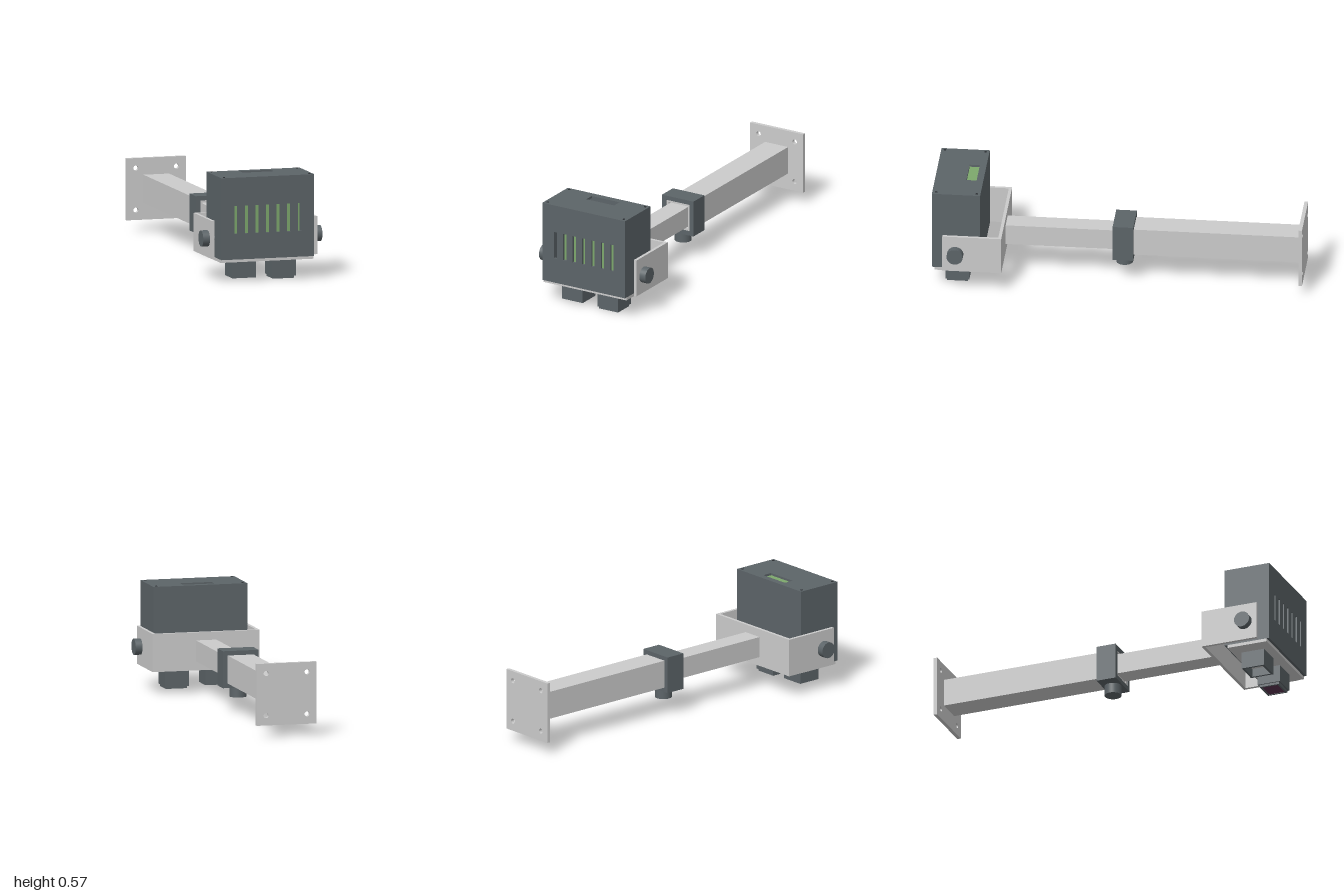
import * as THREE from 'three';

const grey = new THREE.MeshStandardMaterial({ color: 0xcccccc });
const dark = new THREE.MeshStandardMaterial({ color: 0x5c6468 });
const black = new THREE.MeshStandardMaterial({ color: 0x2c3033 });
const green = new THREE.MeshStandardMaterial({ color: 0x7da86c });
const purple = new THREE.MeshStandardMaterial({ color: 0x5a3450 });

export function createModel() {
  const root = new THREE.Group();
  const ARM_Y = 0.232;

  const add = (name, geo, mat, x = 0, y = 0, z = 0, parent = root) => {
    const mesh = new THREE.Mesh(geo, mat);
    mesh.name = name;
    mesh.position.set(x, y, z);
    parent.add(mesh);
    return mesh;
  };
  const group = (name) => {
    const g = new THREE.Group();
    g.name = name;
    root.add(g);
    return g;
  };
  // box given by its lower and upper limits
  const box = (name, mat, [x0, x1], [y0, y1], [z0, z1], parent = root) =>
    add(name, new THREE.BoxGeometry(x1 - x0, y1 - y0, z1 - z0), mat,
      (x0 + x1) / 2, (y0 + y1) / 2, (z0 + z1) / 2, parent);

  const rect = (Kind, w, h, cx = 0, cy = 0) => new Kind([
    [-1, -1], [1, -1], [1, 1], [-1, 1],
  ].map(([a, b]) => new THREE.Vector2(cx + a * w / 2, cy + b * h / 2)));
  const rectHole = (w, h, cx = 0, cy = 0) => rect(THREE.Path, w, h, cx, cy);
  const roundHole = (r, cx, cy) => new THREE.Path().absarc(cx, cy, r, 0, Math.PI * 2, true);
  // rectangular slab in xy with holes, extruded along +z
  const slab = (w, h, depth, holes) => {
    const s = rect(THREE.Shape, w, h);
    s.holes.push(...holes);
    return new THREE.ExtrudeGeometry(s, { depth, bevelEnabled: false, curveSegments: 12 });
  };
  const corners = (a, b) => [[-a, -b], [a, -b], [a, b], [-a, b]];

  // wall plate with four bolt holes
  add('wallPlate', slab(0.336, 0.338, 0.02, corners(0.115, 0.115).map(([x, y]) => roundHole(0.014, x, y))),
    grey, 0, ARM_Y, -1);

  // telescopic arm with its clamp collar
  const arm = group('telescopicArm');
  add('outerTube', slab(0.146, 0.153, 1.01, [rectHole(0.122, 0.129)]), grey, 0, ARM_Y, -0.98, arm);
  add('innerTube', slab(0.114, 0.114, 0.92, [rectHole(0.094, 0.094)]), grey, 0, ARM_Y, -0.3, arm);
  add('clampCollar', slab(0.2, 0.202, 0.112, [rectHole(0.147, 0.154)]), dark, 0, ARM_Y, -0.077, arm);
  add('clampKnob', new THREE.CylinderGeometry(0.046, 0.046, 0.057, 32), dark, 0, 0.1035, -0.021, arm);

  // U-shaped bracket
  const bracket = group('bracket');
  box('bracketBack', grey, [-0.3, 0.3], [0.125, 0.333], [0.62, 0.637], bracket);
  for (const s of [-1, 1]) {
    const arms = [0.283 * s, 0.3 * s].sort((a, b) => a - b);
    box('bracketArm', grey, arms, [0.125, 0.333], [0.637, 0.94], bracket);
    // tilt knob and its axle
    add('tiltKnob', new THREE.CylinderGeometry(0.044, 0.044, 0.038, 32), dark, 0.319 * s, 0.229, 0.869, bracket)
      .rotation.z = Math.PI / 2;
    add('tiltAxle', new THREE.CylinderGeometry(0.016, 0.016, 0.04, 20), dark, 0.272 * s, 0.229, 0.869, bracket)
      .rotation.z = Math.PI / 2;
  }

  // housing: slotted front, vented lid, plain back, sides and floor
  const housing = group('housing');
  const W = 0.263, T = 0.012, Y0 = 0.125, Y1 = 0.572, Z0 = 0.738, Z1 = 1;
  const midY = (Y0 + Y1) / 2, midZ = (Z0 + Z1) / 2;
  const slots = [];
  for (let i = -3; i <= 3; i++) slots.push(rectHole(0.02, 0.152, i * 0.06, 0.342 - midY));
  add('housingFront', slab(2 * W, Y1 - Y0, T, slots), dark, 0, midY, Z1 - T, housing);
  add('housingLid', slab(2 * W, Z1 - Z0 - T, T, [rectHole(0.176, 0.055, 0, midZ - T / 2 - 0.802)]),
    dark, 0, Y1 - T, midZ - T / 2, housing).rotation.x = -Math.PI / 2;
  box('housingBack', dark, [-W, W], [Y0, Y1 - T], [Z0, Z0 + T], housing);
  box('housingFloor', dark, [-W + T, W - T], [Y0, Y0 + T], [Z0 + T, Z1 - T], housing);
  for (const s of [-1, 1]) {
    const xs = [s * W, s * (W - T)].sort((a, b) => a - b);
    box('housingSide', dark, xs, [Y0, Y1 - T], [Z0 + T, Z1 - T], housing);
  }
  for (const [x, z] of corners(0.242, 0.11))
    add('lidScrew', new THREE.CylinderGeometry(0.007, 0.007, 0.004, 16), black, x, Y1, midZ + z, housing);

  // circuit board stack inside
  box('circuitBoards', green, [-0.192, 0.192], [0.2, 0.525], [0.765, 0.965], housing);

  // base plate under the housing
  box('basePlate', grey, [-W, W], [0.108, 0.125], [0.755, 0.985]);

  // two downward sensors: an open hood and a glazed one
  for (const s of [-1, 1]) {
    const sensor = group(s < 0 ? 'openSensor' : 'glazedSensor');
    const x = 0.113 * s, z = 0.87;
    add('sensorHood', slab(0.133, 0.13, 0.095, [rectHole(0.109, 0.106)]), dark, x, 0.108, z, sensor)
      .rotation.x = Math.PI / 2;
    if (s < 0) {
      box('sensorWindow', grey, [x - 0.055, x + 0.055], [0.06, 0.07], [z - 0.054, z + 0.054], sensor);
    } else {
      add('lensRim', slab(0.12, 0.112, 0.02, [rectHole(0.1, 0.092)]), dark, x, 0.02, z, sensor)
        .rotation.x = Math.PI / 2;
      box('lensGlass', purple, [x - 0.051, x + 0.051], [0.002, 0.012], [z - 0.047, z + 0.047], sensor);
    }
  }
  return root;
}
